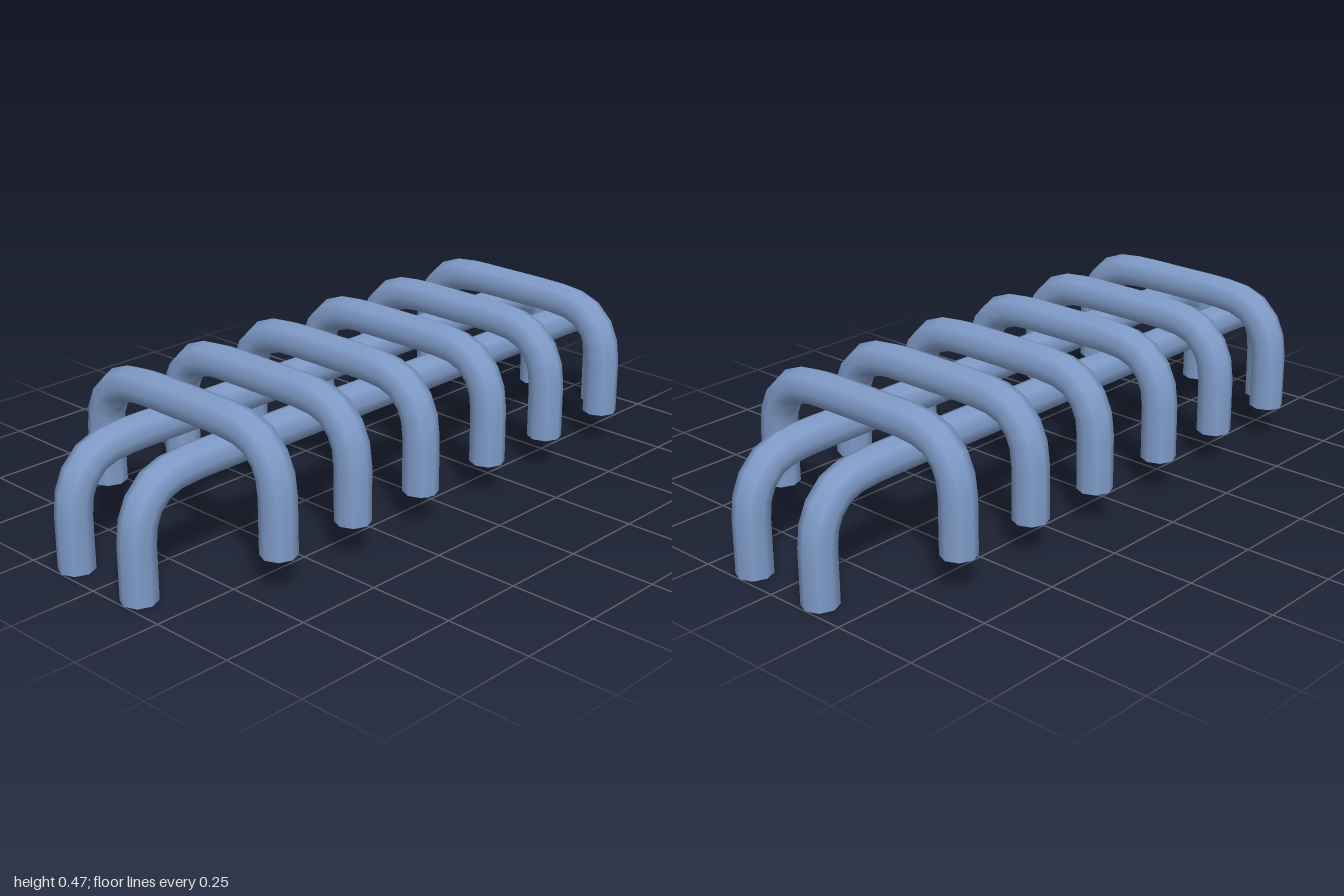
import * as THREE from 'three';

const RADIUS = 0.05;
const SIDES = 8;
const HEIGHT = 0.317; // foot to centre line of the crossbar

// Bend from leg to crossbar: distance inward from the leg, height above the foot
const BEND = [
  [0, 0], [0, 0.155], [0.007, 0.21], [0.027, 0.254], [0.066, 0.292],
  [0.115, 0.31], [0.177, 0.316], [0.226, HEIGHT],
];

// Path that places one tube ring at each given point
class PointPath extends THREE.Curve {
  constructor(points) {
    super();
    this.points = points;
  }
  getPointAt(u, target = new THREE.Vector3()) {
    return target.copy(this.points[Math.round(u * (this.points.length - 1))]);
  }
  getTangentAt(u, target = new THREE.Vector3()) {
    const p = this.points;
    const last = p.length - 1;
    const i = Math.round(u * last);
    const dir = (a, b) => b.clone().sub(a).normalize();
    if (i === 0) return target.copy(dir(p[0], p[1]));
    if (i === last) return target.copy(dir(p[last - 1], p[last]));
    return target.copy(dir(p[i - 1], p[i]).add(dir(p[i], p[i + 1])).normalize());
  }
}

// Bent pipe lying in the xy plane with its feet at x = -half and x = +half
function makeHoop(name, half, material) {
  const hoop = new THREE.Group();
  hoop.name = name;
  const points = [
    ...BEND.map(([d, y]) => new THREE.Vector3(d - half, y, 0)),
    ...[...BEND].reverse().map(([d, y]) => new THREE.Vector3(half - d, y, 0)),
  ];
  const tube = new THREE.Mesh(
    new THREE.TubeGeometry(new PointPath(points), points.length - 1, RADIUS, SIDES, false),
    material
  );
  tube.name = name + 'Pipe';
  hoop.add(tube);

  // Flat ends of the pipe
  for (const side of [-1, 1]) {
    const cap = new THREE.Mesh(
      new THREE.CircleGeometry(RADIUS, SIDES).rotateX(Math.PI / 2),
      material
    );
    cap.name = name + 'End';
    cap.position.x = side * half;
    hoop.add(cap);
  }
  return hoop;
}

export function createModel() {
  const model = new THREE.Group();
  model.name = 'pipeRack';
  const blue = new THREE.MeshStandardMaterial({ color: 0x7f9bc8 });
  blue.name = 'blue paint';

  // Two long rails running front to back
  for (const x of [-0.13, 0.122]) {
    const rail = makeHoop('longRail', 0.95, blue);
    rail.rotation.y = Math.PI / 2;
    rail.position.x = x;
    model.add(rail);
  }

  // Six cross hoops resting on the rails
  for (const z of [-0.667, -0.398, -0.138, 0.142, 0.405, 0.672]) {
    const hoop = makeHoop('crossHoop', 0.336, blue);
    hoop.position.set(0, 0.1, z);
    model.add(hoop);
  }
  return model;
}
